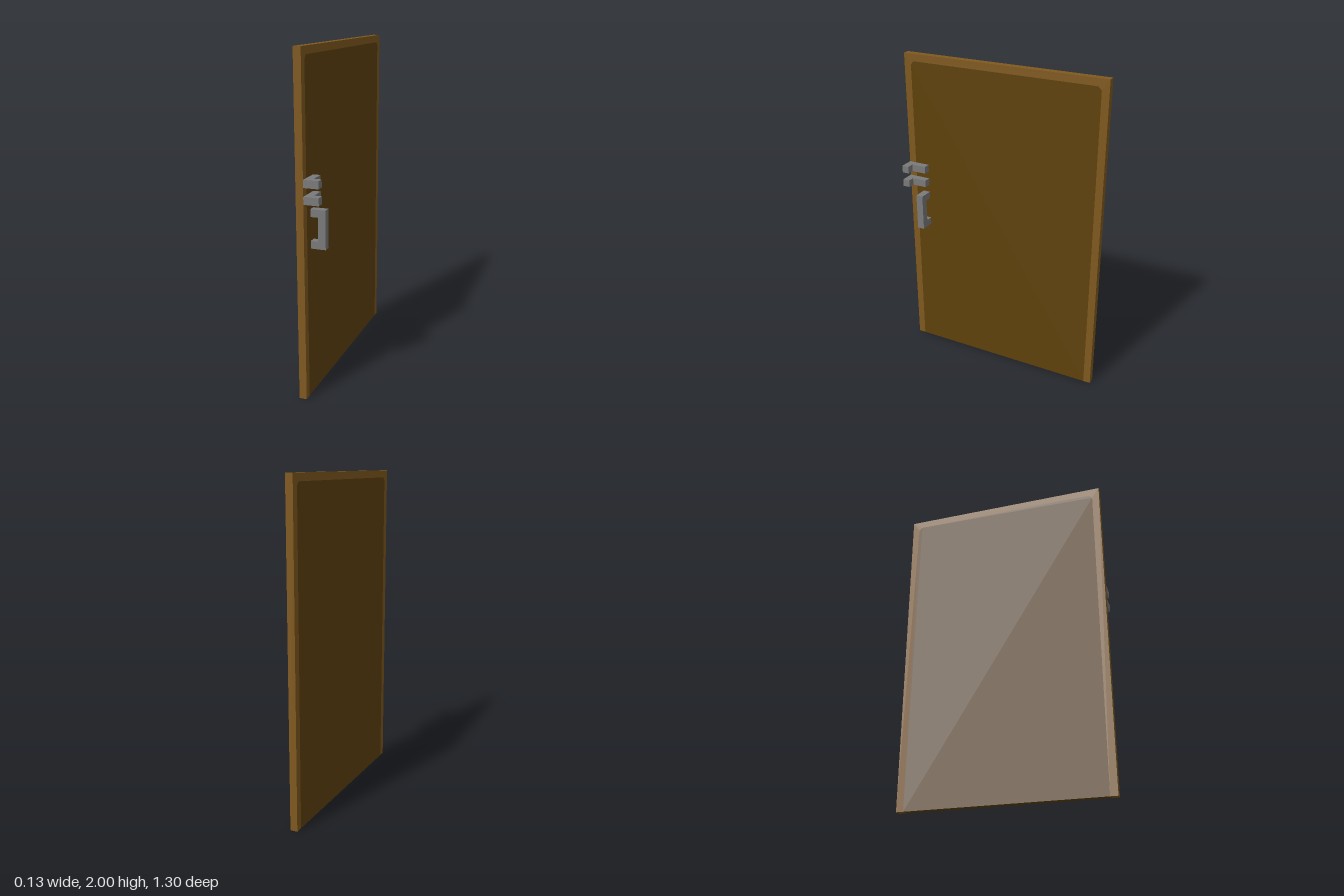
import * as THREE from 'three';

const T = 0.0447; // common thickness of slab, latch and handle bars

export function createModel() {
  const model = new THREE.Group();
  model.name = 'door';
  const frameWood = new THREE.MeshStandardMaterial({ name: 'frame wood', color: 0x80591f });
  const panelWood = new THREE.MeshStandardMaterial({ name: 'panel wood', color: 0x5e410c });
  const metal = new THREE.MeshStandardMaterial({ name: 'grey metal', color: 0x7a7a7a });

  // Extrude a flat outline into a named mesh
  const extrude = (name, points, depth, material) => {
    const shape = new THREE.Shape(points.map(([x, y]) => new THREE.Vector2(x, y)));
    const mesh = new THREE.Mesh(
      new THREE.ExtrudeGeometry(shape, { depth, bevelEnabled: false }), material);
    mesh.name = name;
    model.add(mesh);
    return mesh;
  };

  // Door slab: frame on the sides and top, flush panel reaching the floor
  const W = 0.65, w = 0.605, H = 2, h = 1.955, c = 0.02;
  const inner = [[w, 0], [w, h - c], [w - c, h], [-w + c, h], [-w, h - c], [-w, 0]];
  const slab = [
    extrude('frame', [[-W, 0], ...inner.slice().reverse(), [W, 0], [W, H], [-W, H]], T, frameWood),
    extrude('panel', inner, T, panelWood),
  ];
  for (const mesh of slab) {
    mesh.geometry.rotateY(Math.PI / 2);
    mesh.position.x = -1.5 * T;
  }

  // Two L-shaped latch hooks at the front edge
  const x0 = -T / 2, x1 = T / 2, x2 = 1.5 * T;
  for (const [name, y] of [['lowerLatch', 1.167], ['upperLatch', 1.26]]) {
    const latch = extrude(name,
      [[x0, -0.65], [x2, -0.65], [x2, -0.605], [x1, -0.605], [x1, -0.512], [x0, -0.512]], T, metal);
    latch.geometry.rotateX(-Math.PI / 2);
    latch.position.y = y;
  }

  // Pull handle
  const y0 = 0.89, y1 = 1.118;
  const handle = extrude('handle',
    [[x0, y0], [x2, y0], [x2, y1], [x0, y1], [x0, y1 - T], [x1, y1 - T], [x1, y0 + T], [x0, y0 + T]],
    T, metal);
  handle.position.z = 0.512;

  return model;
}
